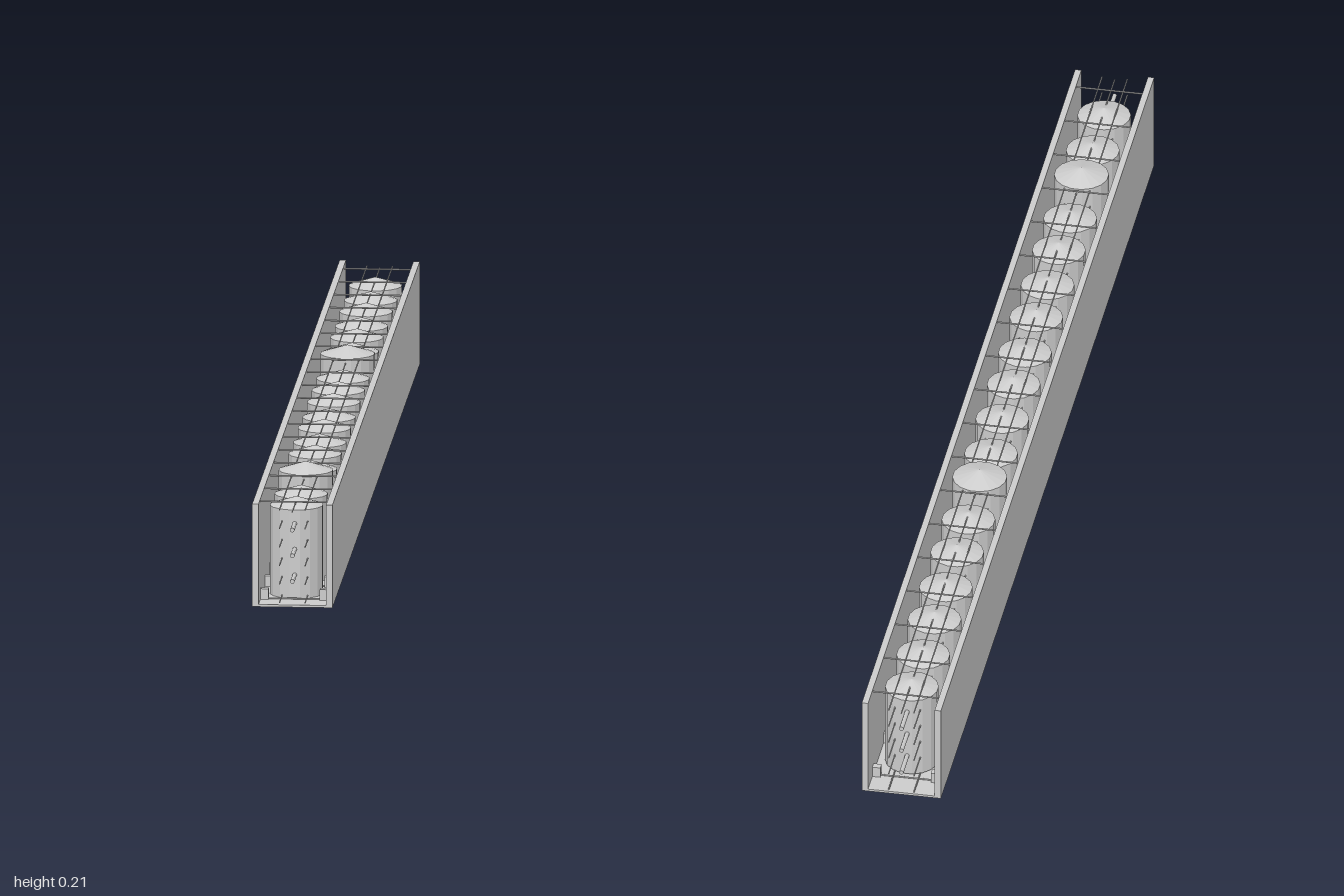
import * as THREE from 'three';

const mat = new THREE.MeshStandardMaterial({ color: 0xcccccc });
const flat = new THREE.MeshStandardMaterial({ color: 0xcccccc, flatShading: true });

export function createModel() {
  const model = new THREE.Group();

  const add = (name, geometry, x, y, z, material = mat) => {
    const mesh = new THREE.Mesh(geometry, material);
    mesh.name = name;
    mesh.position.set(x, y, z);
    model.add(mesh);
    return mesh;
  };

  // Open trough: floor board and two side panels
  add('floorBoard', new THREE.BoxGeometry(0.116, 0.004, 2), 0, 0.019, 0);
  for (const s of [-1, 1]) {
    add('sidePanel', new THREE.BoxGeometry(0.011, 0.18, 2), s * 0.0635, 0.107, 0);
  }

  // Row of upright drums with shallow conical ends: [bottom tip, top tip]
  const pitch = 0.106;
  const cone = 0.015;
  const drums = [
    [0.005, 0.191], [0.010, 0.188], [0.016, 0.207], [0.022, 0.186], [0.007, 0.190], [0.010, 0.187],
    [0.013, 0.190], [0.013, 0.186], [0.007, 0.190], [0.022, 0.188], [0.000, 0.186], [0.075, 0.207],
    [0.022, 0.188], [0.013, 0.190], [0.010, 0.187], [0.012, 0.190], [0.005, 0.187], [0.010, 0.190],
  ];
  drums.forEach(([low, high], i) => {
    const r = high > 0.2 ? 0.047 : 0.046;
    const profile = [[0, low], [r, low + cone], [r, high - cone], [0, high]]
      .map(([x, y]) => new THREE.Vector2(x, y));
    const drum = add('drum', new THREE.LatheGeometry(profile, 16), 0, 0, (8.5 - i) * pitch, flat);
    drum.rotation.y = Math.PI / 16;
  });

  // Lengthwise bars: thin outer rows and a thicker middle row
  const bar = (name, r, x, y) => {
    add(name, new THREE.CylinderGeometry(r, r, 2, 8), x, y, 0).rotation.x = Math.PI / 2;
  };
  for (let k = 0; k < 6; k++) {
    for (const s of [-1, 1]) bar('thinBar', 0.0012, s * 0.022, 0.025 + k * 0.0325);
  }
  for (const y of [0.062, 0.107, 0.152]) bar('middleBar', 0.004, 0, y);
  bar('topBar', 0.0012, 0, 0.184);

  // Crossbars between the drums, with spacer blocks at the foot of the panels
  for (let i = 0; i <= 18; i++) {
    const z = (i - 9) * pitch;
    for (const y of [0.0225, 0.192]) {
      add('crossbar', new THREE.CylinderGeometry(0.0014, 0.0014, 0.118, 8), 0, y, z).rotation.z = Math.PI / 2;
    }
    for (const s of [-1, 1]) {
      add('spacerBlock', new THREE.BoxGeometry(0.014, 0.02, 0.012), s * 0.051, 0.03, z);
    }
  }

  return model;
}
